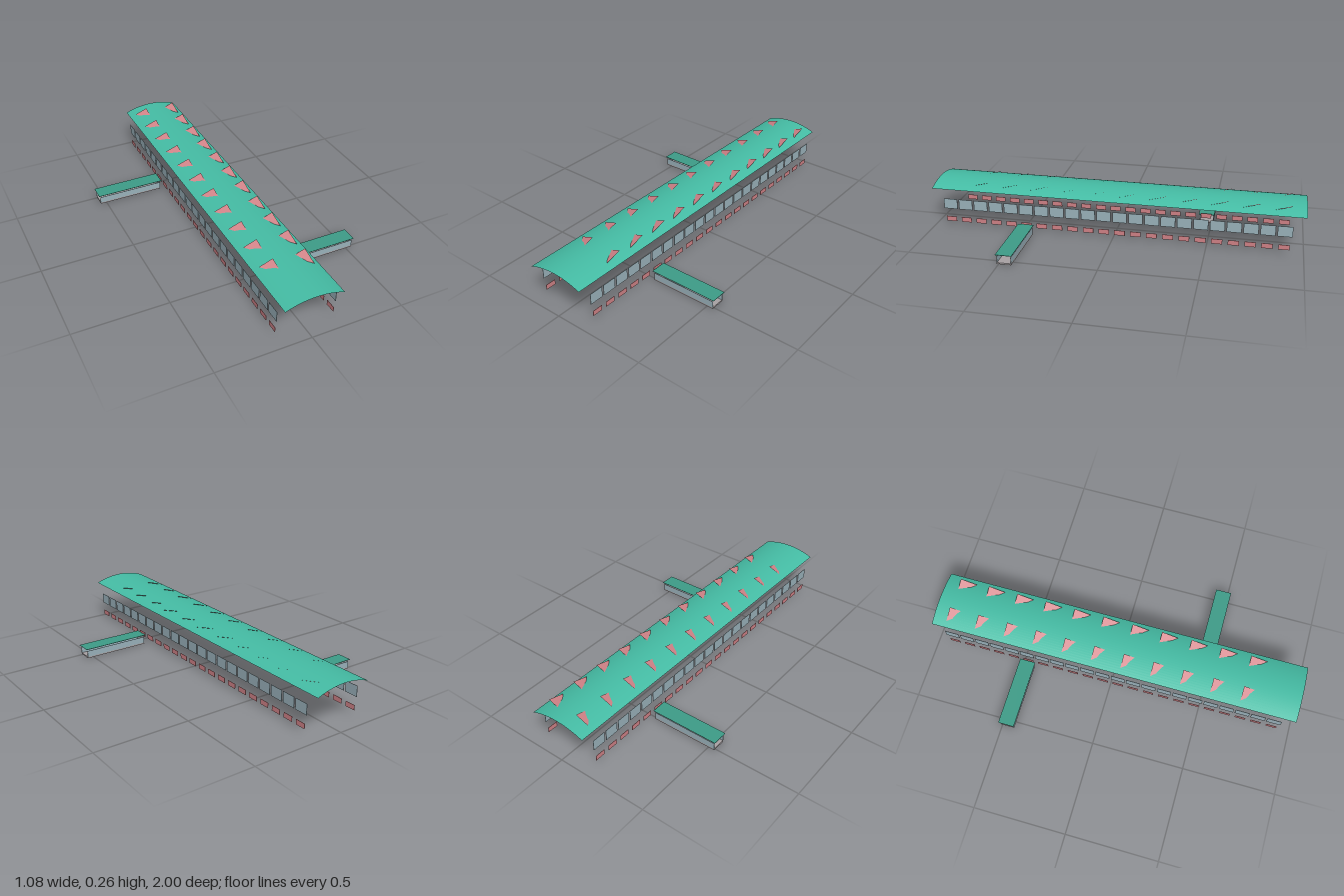
import * as THREE from 'three';

const make = (name, color, side = THREE.FrontSide) => {
  const m = new THREE.MeshStandardMaterial({ color, side });
  m.name = name;
  return m;
};

export function createModel() {
  const roofGreen = make('roof green', 0x45bda5, THREE.DoubleSide);
  const canopyGreen = make('canopy green', 0x3d9c88);
  const glass = make('blue grey glass', 0x9ab2bb);
  const pink = make('pink panel', 0xd08287);
  const finPink = make('fin pink', 0xd08287, THREE.DoubleSide);
  const floorGrey = make('floor grey', 0xa8a2a4);

  const model = new THREE.Group();
  model.name = 'archedHall';

  const box = (name, w, h, d, x, y, z, material, parent = model) => {
    const mesh = new THREE.Mesh(new THREE.BoxGeometry(w, h, d), material);
    mesh.name = name;
    mesh.position.set(x, y, z);
    parent.add(mesh);
  };

  // Long, thin vault: a plane bent along a circular arc
  const halfWidth = 0.155, rise = 0.03, crown = 0.248;
  const radius = (halfWidth ** 2 + rise ** 2) / (2 * rise);
  const vault = new THREE.PlaneGeometry(halfWidth * 2, 2, 24, 1).rotateX(-Math.PI / 2);
  const p = vault.attributes.position;
  for (let i = 0; i < p.count; i++) {
    p.setY(i, crown - radius + Math.sqrt(radius ** 2 - p.getX(i) ** 2));
  }
  vault.computeVertexNormals();
  const roof = new THREE.Mesh(vault, roofGreen);
  roof.name = 'vaultedRoof';
  model.add(roof);

  // Raised triangular roof fins, in two rows facing the same way
  const finGeometry = new THREE.BufferGeometry();
  finGeometry.setAttribute('position', new THREE.Float32BufferAttribute([
    -0.073, 0.235, 0, 0, 0.236, 0.09, 0, 0.261, 0,
  ], 3));
  finGeometry.computeVertexNormals();
  const fins = new THREE.Group();
  fins.name = 'roofFins';
  model.add(fins);
  for (const x of [-0.051, 0.123]) {
    for (let i = 0; i < 11; i++) {
      const fin = new THREE.Mesh(finGeometry, finPink);
      fin.name = 'roofFin';
      fin.position.set(x, 0, -0.925 + i * 0.162);
      fins.add(fin);
    }
  }

  // Side windows with a small panel below each
  for (const side of [-1, 1]) {
    const row = new THREE.Group();
    row.name = side > 0 ? 'leftSidePanels' : 'rightSidePanels';
    model.add(row);
    for (let i = 0; i < 22; i++) {
      const z = (i - 10.5) * 0.0855;
      box('window', 0.002, 0.057, 0.076, side * 0.157, 0.137, z, glass, row);
      box('lowerPanel', 0.002, 0.027, 0.057, side * 0.157, 0.0485, z, pink, row);
    }
  }

  // Side passages, placed at opposite ends of the hall
  for (const side of [-1, 1]) {
    const passage = new THREE.Group();
    passage.name = side > 0 ? 'leftPassage' : 'rightPassage';
    passage.position.set(side * 0.352, 0, side * 0.472);
    model.add(passage);
    box('canopy', 0.378, 0.002, 0.086, 0, 0.053, 0, canopyGreen, passage);
    box('passageFloor', 0.364, 0.008, 0.075, 0, 0.004, 0, floorGrey, passage);
    for (const z of [-0.0365, 0.0365]) {
      box('passageWindow', 0.364, 0.034, 0.002, 0, 0.025, z, glass, passage);
    }
  }
  return model;
}
